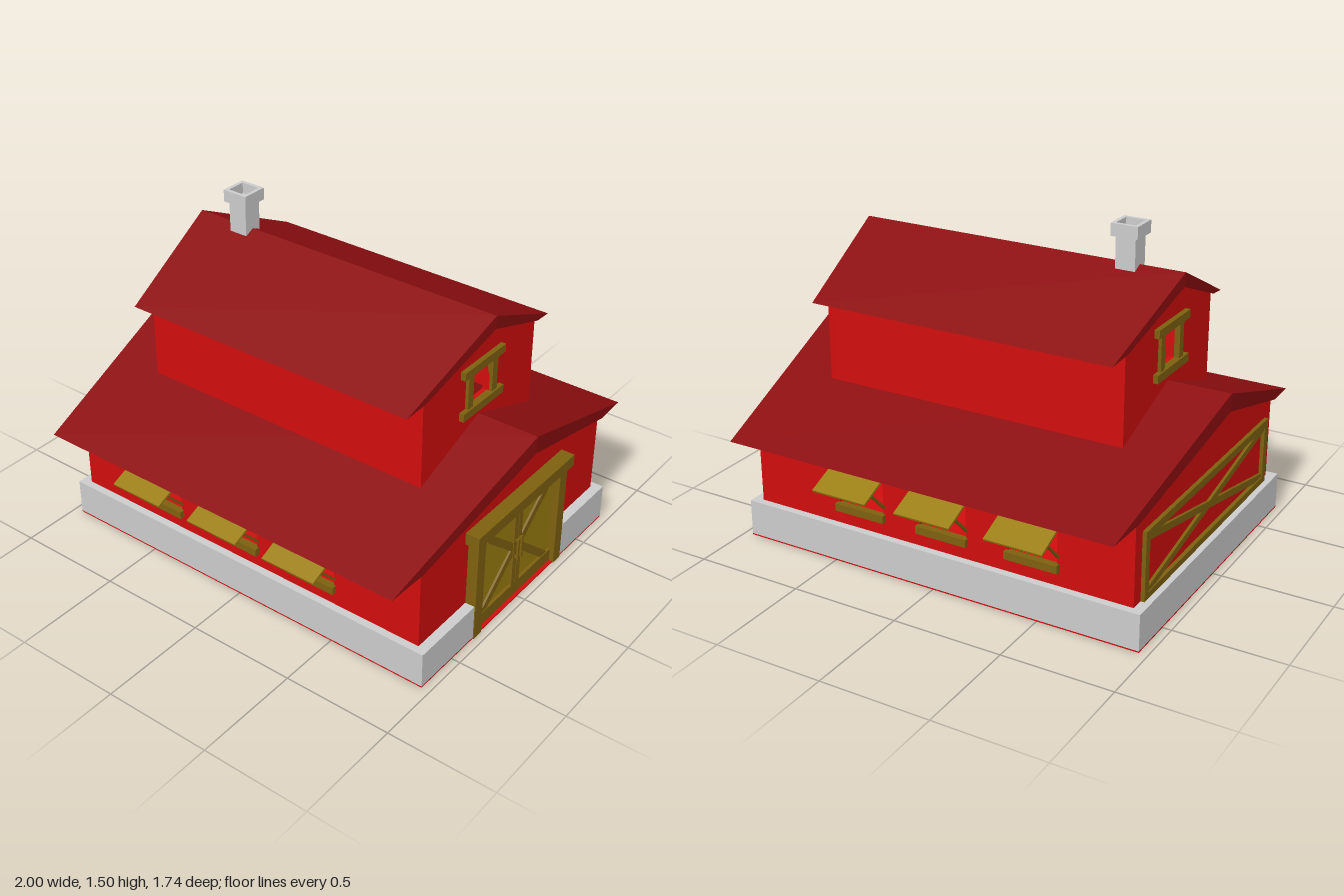
import * as THREE from 'three';

const mat = (color) => new THREE.MeshStandardMaterial({ color, flatShading: true });

export function createModel() {
  const root = new THREE.Group();
  const red = mat(0xd00d0d), roofRed = mat(0x8c0d0f), stone = mat(0xcccccc);
  const timber = mat(0x7d600f), plank = mat(0x9a7d10);

  const group = (name) => {
    const g = new THREE.Group();
    g.name = name;
    root.add(g);
    return g;
  };
  const add = (parent, name, geo, material) => {
    const m = new THREE.Mesh(geo, material);
    m.name = name;
    parent.add(m);
    return m;
  };
  // Box given by its extents on each axis
  const box = (parent, name, material, [x0, x1], [y0, y1], [z0, z1]) => {
    const m = add(parent, name, new THREE.BoxGeometry(Math.abs(x1 - x0), y1 - y0, Math.abs(z1 - z0)), material);
    m.position.set((x0 + x1) / 2, (y0 + y1) / 2, (z0 + z1) / 2);
    return m;
  };
  // Bar between two [z, y] points, spanning x0..x1
  const beam = (parent, name, material, [x0, x1], a, b, width) => {
    const dz = b[0] - a[0], dy = b[1] - a[1];
    const m = add(parent, name, new THREE.BoxGeometry(Math.abs(x1 - x0), width, Math.hypot(dz, dy)), material);
    m.position.set((x0 + x1) / 2, (a[1] + b[1]) / 2, (a[0] + b[0]) / 2);
    m.rotation.x = -Math.atan2(dy, dz);
    return m;
  };
  const polygon = (pts) => new THREE.Shape(pts.map(([u, v]) => new THREE.Vector2(u, v)));
  const rect = (u0, u1, v0, v1) => polygon([[u0, v0], [u1, v0], [u1, v1], [u0, v1]]);
  const extrude = (shape, depth) => new THREE.ExtrudeGeometry(shape, { depth, bevelEnabled: false });
  // Profile in (z, y) extruded from x0 to x1
  const extrudeX = (shape, x0, x1) => extrude(shape, x1 - x0).rotateY(Math.PI / 2).translate(x0, 0, 0);

  // Gable roof whose ends rake inward from ridge to eaves
  const roof = (name, ridgeX, eaveX, eaveZ, eaveY, ridgeY, wallZ, wallY, underY) => {
    const geo = extrudeX(polygon([
      [0, ridgeY], [-eaveZ, eaveY], [-wallZ, wallY], [0, underY], [wallZ, wallY], [eaveZ, eaveY],
    ]), -ridgeX, ridgeX);
    const p = geo.attributes.position;
    for (let i = 0; i < p.count; i++) {
      const t = Math.abs(p.getZ(i)) / eaveZ;
      p.setX(i, Math.sign(p.getX(i)) * (ridgeX + (eaveX - ridgeX) * t));
    }
    geo.computeVertexNormals();
    add(root, name, geo, roofRed);
  };
  roof('lowerRoof', 1, 0.915, 0.87, 0.53, 0.845, 0.69, 0.546, 0.765);
  roof('upperRoof', 0.775, 0.715, 0.515, 1.083, 1.325, 0.41, 1.1, 1.265);

  // Stone footing, left open at the doorway
  const footing = group('footing');
  box(root, 'floor', red, [-0.96, 0.96], [0, 0.006], [-0.715, 0.715]);
  for (const s of [-1, 1]) {
    box(footing, 'footingLong', stone, [-0.96, 0.96], [0.006, 0.17], [s * 0.67, s * 0.715]);
    box(footing, 'footingDoorSide', stone, [0.9, 0.96], [0.006, 0.17], [s * 0.34, s * 0.67]);
  }
  box(footing, 'footingRear', stone, [-0.96, -0.9], [0.006, 0.17], [-0.67, 0.67]);

  // Walls: long sides with three windows, gabled ends
  const windowX = [-0.46, -0.033, 0.377];
  const walls = group('walls');
  for (const s of [-1, 1]) {
    const side = rect(-0.9, 0.9, 0.006, 0.556);
    for (const c of windowX) side.holes.push(rect(c - 0.113, c + 0.113, 0.265, 0.445));
    add(walls, 'lowerSideWall', extrude(side, 0.03).translate(0, 0, s > 0 ? 0.65 : -0.68), red);
    const gable = polygon([[-0.68, 0.006], [0.68, 0.006], [0.68, 0.56], [0, 0.78], [-0.68, 0.56]]);
    add(walls, 'lowerGable', extrudeX(gable, s > 0 ? 0.885 : -0.915, s > 0 ? 0.915 : -0.885), red);

    box(walls, 'upperSideWall', red, [-0.7, 0.7], [0.66, 1.11], [s * 0.375, s * 0.405]);
    const loft = polygon([[-0.405, 0.66], [0.405, 0.66], [0.405, 1.11], [0, 1.28], [-0.405, 1.11]]);
    loft.holes.push(rect(-0.07, 0.07, 0.92, 1.08));
    add(walls, 'upperGable', extrudeX(loft, s > 0 ? 0.685 : -0.715, s > 0 ? 0.715 : -0.685), red);
  }

  // Side windows with sill, propped shutter and stays
  for (const s of [-1, 1]) for (const c of windowX) {
    const w = group('sideWindow');
    box(w, 'sill', timber, [c - 0.123, c + 0.123], [0.235, 0.27], [s * 0.67, s * 0.703]);
    beam(w, 'shutter', plank, [c - 0.133, c + 0.133], [s * 0.677, 0.456], [s * 0.84, 0.386], 0.01);
    for (const e of [-1, 1]) {
      const x = c + e * 0.118;
      beam(w, 'stay', timber, [x - 0.006, x + 0.006], [s * 0.68, 0.3], [s * 0.785, 0.41], 0.01);
    }
  }

  // Loft windows at both ends
  for (const s of [-1, 1]) {
    const w = group('loftWindow');
    box(w, 'lintel', timber, [s * 0.705, s * 0.738], [1.078, 1.115], [-0.147, 0.147]);
    box(w, 'sill', timber, [s * 0.705, s * 0.738], [0.883, 0.92], [-0.147, 0.147]);
    for (const e of [-1, 1])
      box(w, 'jamb', timber, [s * 0.705, s * 0.73], [0.92, 1.078], [e * 0.07, e * 0.107]);
  }

  // Double barn door with braces and handles
  const door = group('barnDoor');
  box(door, 'lintel', timber, [0.9, 0.98], [0.49, 0.545], [-0.37, 0.37]);
  box(door, 'panel', plank, [0.9, 0.93], [0, 0.49], [-0.29, 0.29]);
  box(door, 'topRail', timber, [0.92, 0.944], [0.437, 0.49], [-0.29, 0.29]);
  box(door, 'bottomRail', timber, [0.92, 0.944], [0, 0.068], [-0.29, 0.29]);
  for (const s of [-1, 1]) {
    box(door, 'post', timber, [0.9, 0.965], [0, 0.49], [s * 0.29, s * 0.345]);
    box(door, 'stile', timber, [0.92, 0.944], [0.068, 0.437], [s * 0.002, s * 0.03]);
    beam(door, 'upperBrace', timber, [0.92, 0.94], [s * 0.225, 0.437], [s * 0.015, 0.26], 0.036);
    beam(door, 'lowerBrace', timber, [0.92, 0.94], [s * 0.25, 0.06], [s * 0.015, 0.26], 0.036);
    box(door, 'handle', timber, [0.952, 0.96], [0.21, 0.315], [s * 0.008, s * 0.02]);
    for (const y of [0.215, 0.3])
      box(door, 'handleMount', timber, [0.94, 0.953], [y, y + 0.01], [s * 0.008, s * 0.02]);
  }

  // Cross-braced frame on the rear end
  const frame = group('rearFrame');
  const fx = [-0.933, -0.905];
  box(frame, 'topRail', timber, fx, [0.445, 0.48], [-0.62, 0.62]);
  box(frame, 'bottomRail', timber, fx, [0.165, 0.2], [-0.62, 0.62]);
  for (const s of [-1, 1]) {
    box(frame, 'upright', timber, fx, [0.2, 0.445], [s * 0.585, s * 0.62]);
    beam(frame, 'brace', timber, [-0.928, -0.905], [-s * 0.59, 0.2], [s * 0.59, 0.445], 0.032);
  }

  // Hollow square chimney
  const chimney = group('chimney');
  const flue = (name, half, inner, y0, y1) => {
    const ring = rect(-half, half, -half, half);
    ring.holes.push(rect(-inner, inner, -inner, inner));
    add(chimney, name, extrude(ring, y1 - y0).rotateX(-Math.PI / 2).translate(-0.525, y0, 0), stone);
  };
  flue('stack', 0.045, 0.035, 1.28, 1.45);
  flue('cap', 0.061, 0.044, 1.445, 1.5);

  return root;
}
